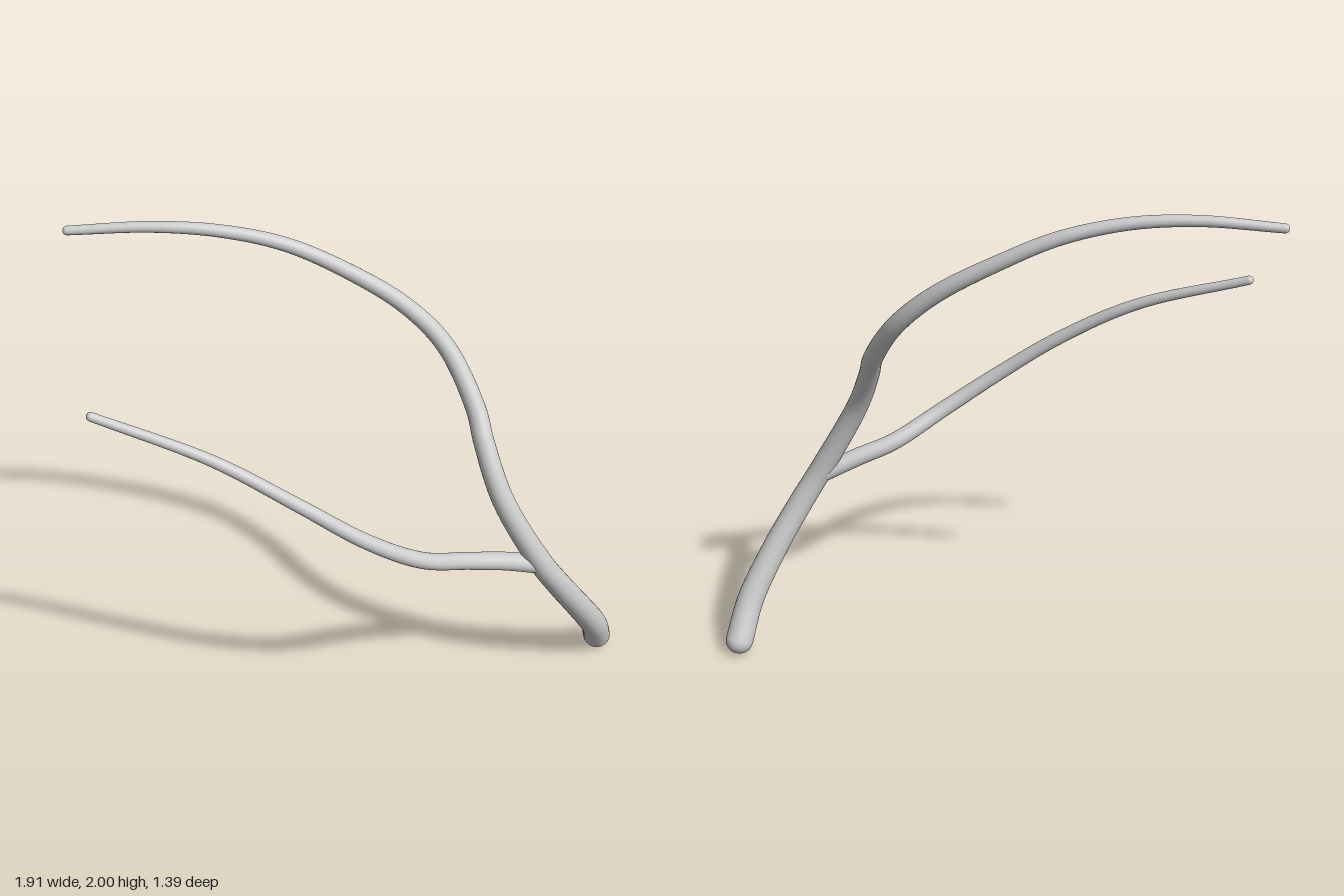
import * as THREE from 'three';

const material = new THREE.MeshStandardMaterial({ color: 0xcccccc });

// Smooth tube along a curve, tapering from r0 to r1, with rounded ends
function taperedLimb(name, points, r0, r1, segments) {
  const sides = 24;
  const curve = new THREE.CatmullRomCurve3(points.map((p) => new THREE.Vector3(...p)));
  const tube = new THREE.TubeGeometry(curve, segments, 1, sides, false);
  const pos = tube.attributes.position;
  const v = new THREE.Vector3();
  for (let i = 0; i <= segments; i++) {
    const t = i / segments;
    const centre = curve.getPointAt(t);
    const radius = THREE.MathUtils.lerp(r0, r1, t);
    for (let j = 0; j <= sides; j++) {
      const k = i * (sides + 1) + j;
      v.fromBufferAttribute(pos, k).sub(centre).multiplyScalar(radius).add(centre);
      pos.setXYZ(k, v.x, v.y, v.z);
    }
  }
  const limb = new THREE.Group();
  limb.name = name;
  const body = new THREE.Mesh(tube, material);
  body.name = name + 'Body';
  limb.add(body);

  // Hemispheres facing outward at both ends
  for (const [end, t, r, sign] of [['Base', 0, r0, -1], ['Tip', 1, r1, 1]]) {
    const cap = new THREE.Mesh(
      new THREE.SphereGeometry(r, sides, 8, 0, Math.PI * 2, 0, Math.PI / 2), material);
    cap.name = name + end + 'Cap';
    cap.position.copy(curve.getPointAt(t));
    cap.quaternion.setFromUnitVectors(
      new THREE.Vector3(0, 1, 0), curve.getTangentAt(t).multiplyScalar(sign));
    limb.add(cap);
  }
  return limb;
}

export function createModel() {
  const model = new THREE.Group();
  model.name = 'forkedBranch';

  // Main stem, from the thick foot to the thin upper tip
  model.add(taperedLimb('mainStem', [
    [0.89, 0.056, -0.637], [0.9, 0.2, -0.54], [0.865, 0.39, -0.41],
    [0.815, 0.55, -0.31], [0.75, 0.706, -0.235], [0.605, 1.0, -0.175],
    [0.5, 1.2, -0.22], [0.442, 1.3, -0.268], [0.29, 1.5, -0.32],
    [0.135, 1.65, -0.29], [-0.087, 1.8, -0.2], [-0.27, 1.9, -0.105],
    [-0.47, 1.96, 0.01], [-0.68, 1.98, 0.125], [-0.94, 1.967, 0.26],
  ], 0.055, 0.017, 140));

  // Side branch, sprouting from inside the stem
  model.add(taperedLimb('sideBranch', [
    [0.74, 0.69, -0.23], [0.65, 0.74, -0.135], [0.55, 0.79, -0.02],
    [0.435, 0.89, 0.167], [0.28, 1.025, 0.31], [0.07, 1.195, 0.425],
    [-0.215, 1.375, 0.537], [-0.615, 1.527, 0.677],
  ], 0.037, 0.017, 100));

  return model;
}
